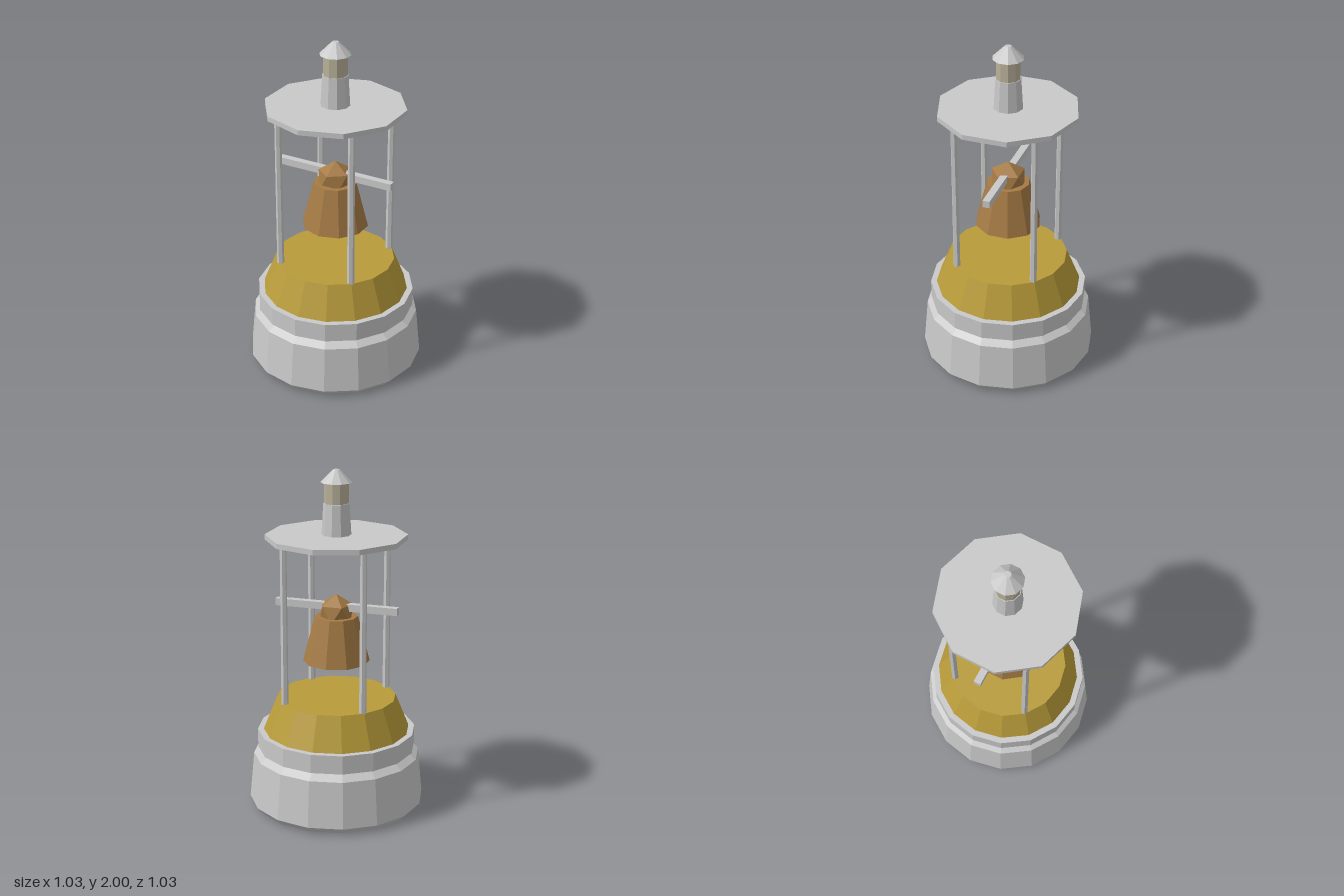
import * as THREE from 'three';

const mat = (name, color) => {
  const m = new THREE.MeshStandardMaterial({ color, flatShading: true });
  m.name = name;
  return m;
};

export function createModel() {
  const grey = mat('painted grey', 0xc9c9c9);
  const yellow = mat('ochre yellow', 0xb89b3a);
  const bronze = mat('bronze', 0xa67b45);
  const glass = mat('lamp beige', 0xb9b199);

  const buoy = new THREE.Group();
  buoy.name = 'bellBuoy';

  const add = (name, geometry, material, x = 0, y = 0, z = 0) => {
    const mesh = new THREE.Mesh(geometry, material);
    mesh.name = name;
    mesh.position.set(x, y, z);
    buoy.add(mesh);
    return mesh;
  };
  // Faceted frustum standing between heights y0 and y1
  const frustum = (name, material, y0, r0, y1, r1, sides, x = 0, z = 0) =>
    add(name, new THREE.CylinderGeometry(r1, r0, y1 - y0, sides), material, x, (y0 + y1) / 2, z);

  // Float hull with chamfered bottom and shoulder
  const hull = [[0, 0], [0.48, 0], [0.517, 0.04], [0.49, 0.315], [0.44, 0.355], [0, 0.355]]
    .map(([r, y]) => new THREE.Vector2(r, y));
  add('hull', new THREE.LatheGeometry(hull, 16), grey);
  frustum('collar', grey, 0.355, 0.465, 0.465, 0.465, 16);
  frustum('deck', yellow, 0.465, 0.43, 0.663, 0.35, 16);

  // Four posts carrying the roof
  for (const x of [-0.235, 0.235])
    for (const z of [-0.235, 0.235])
      frustum('post', grey, 0.65, 0.021, 1.61, 0.019, 6, x, z);
  frustum('roof', grey, 1.6, 0.407, 1.63, 0.407, 10);

  // Bell with its faceted crown and crossbar
  frustum('bell', bronze, 0.88, 0.194, 1.15, 0.125, 10);
  const crown = new THREE.IcosahedronGeometry(0.11);
  // stand the icosahedron on a corner
  crown.rotateX(Math.atan(2 / (1 + Math.sqrt(5))));
  const p = crown.attributes.position;
  let top = new THREE.Vector3();
  for (let i = 0; i < p.count; i++) {
    const v = new THREE.Vector3().fromBufferAttribute(p, i);
    if (v.y > top.y) top = v;
  }
  crown.applyQuaternion(new THREE.Quaternion().setFromUnitVectors(
    top.clone().normalize(), new THREE.Vector3(0, 1, 0)));
  // turn it so one upper-ring corner faces the front
  let ring = 0;
  for (let i = 0; i < p.count; i++)
    if (p.getY(i) > 0.02 && p.getY(i) < 0.08) ring = Math.atan2(p.getX(i), p.getZ(i));
  crown.rotateY(-ring);
  add('bellCrown', crown, bronze, 0, 1.17, 0);
  add('crossbar', new THREE.BoxGeometry(0.735, 0.042, 0.042), grey, 0, 1.207, 0);

  // Lantern
  frustum('lanternBase', grey, 1.63, 0.085, 1.81, 0.074, 10);
  frustum('lamp', glass, 1.81, 0.07, 1.93, 0.07, 10);
  frustum('lanternCap', grey, 1.928, 0.09, 2.0, 0.019, 10);

  return buoy;
}
